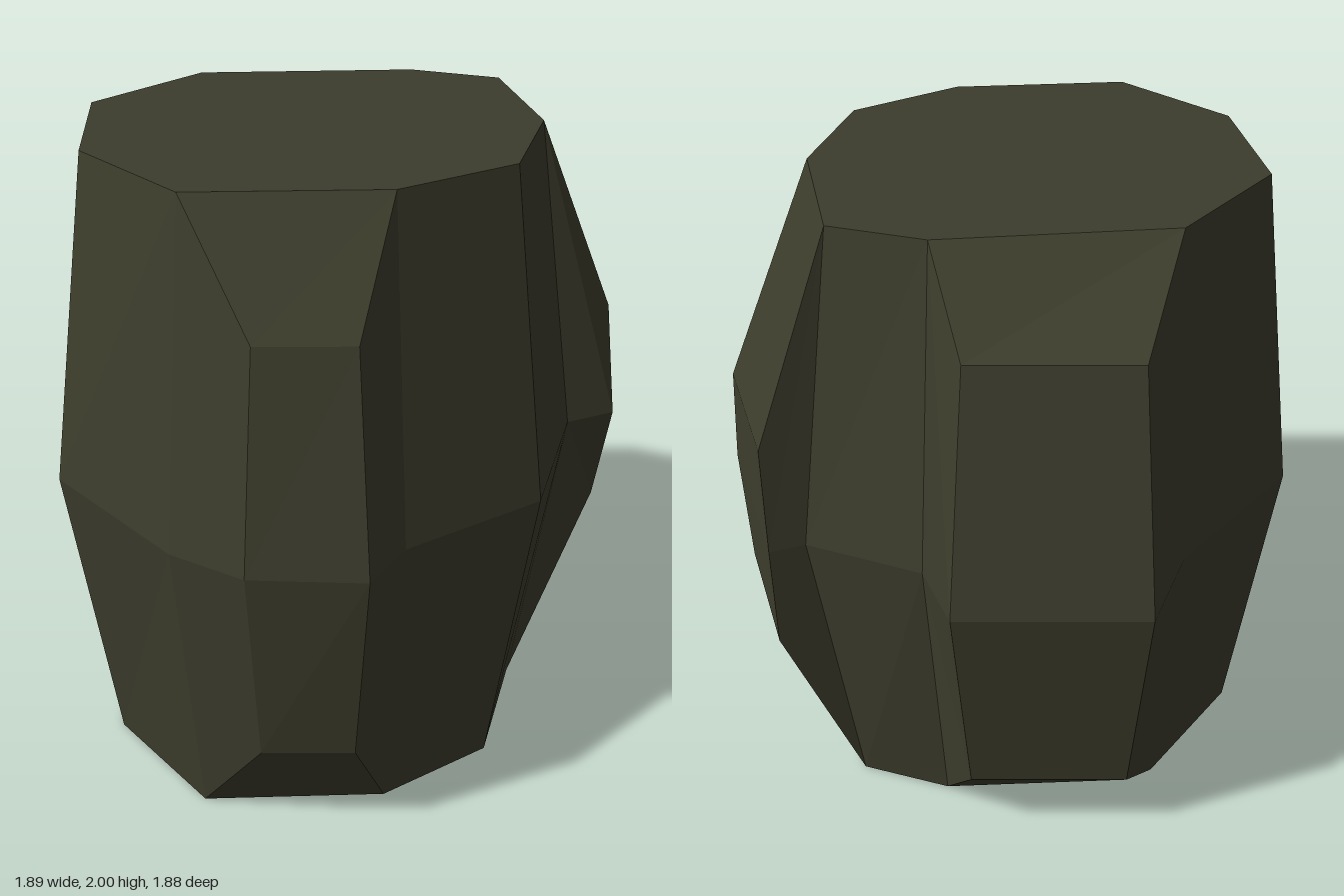
import * as THREE from 'three';

// Nine corners in plan, as [x, z]: the rim (top and bottom) and the wider waist
const RIM = [[-0.8, -0.04], [-0.555, -0.485], [-0.09, -0.63], [0.515, -0.285], [0.69, -0.04],
  [0.48, 0.43], [0.145, 0.72], [-0.26, 0.72], [-0.745, 0.43]];
const WAIST = [[-0.947, -0.04], [-0.6, -0.62], [-0.04, -0.77], [0.63, -0.37], [0.835, -0.04],
  [0.595, 0.515], [0.19, 0.855], [-0.3, 0.855], [-0.865, 0.515]];

// Raised slabs: side of the barrel, height of the slab's top edge, its corners there and at the waist
const SLABS = [
  { name: 'backSlab', side: 2, y: 1.745, edge: [[0.18, -0.81], [0.575, -0.52]], mid: [[0.225, -0.945], [0.69, -0.605]] },
  { name: 'leftSlab', side: 4, y: 1.35, edge: [[0.937, 0], [0.785, 0.46]], mid: [[0.944, -0.01], [0.768, 0.542]] },
  { name: 'frontSlab', side: 7, y: 1.655, edge: [[-0.457, 0.845], [-0.69, 0.695]], mid: [[-0.48, 0.94], [-0.755, 0.742]] },
];

const at = ([x, z], y) => [x, y, z];
const flip = ([x, y, z]) => [x, 2 - y, z];

// Fan of triangles over a polygon
function addFace(out, pts) {
  for (let i = 1; i < pts.length - 1; i++) out.push(...pts[0], ...pts[i], ...pts[i + 1]);
}

// A face in the upper half and its reflection in the lower half
function addMirrored(out, pts) {
  addFace(out, pts);
  addFace(out, pts.map(flip).reverse());
}

function makeMesh(name, positions, material) {
  const geometry = new THREE.BufferGeometry();
  geometry.setAttribute('position', new THREE.Float32BufferAttribute(positions, 3));
  geometry.computeVertexNormals();
  const mesh = new THREE.Mesh(geometry, material);
  mesh.name = name;
  return mesh;
}

export function createModel() {
  const group = new THREE.Group();
  group.name = 'facetedBarrel';
  const olive = new THREE.MeshStandardMaterial({ color: 0x3d3d2d });
  olive.name = 'darkOlive';
  olive.flatShading = true;
  const n = RIM.length;

  // Barrel: end caps and the plain sides
  const body = [];
  addMirrored(body, RIM.map((p) => at(p, 2)).reverse());
  for (let i = 0; i < n; i++) {
    if (SLABS.some((s) => s.side === i)) continue;
    const j = (i + 1) % n;
    addMirrored(body, [at(RIM[i], 2), at(RIM[j], 2), at(WAIST[j], 1), at(WAIST[i], 1)]);
  }
  group.add(makeMesh('barrel', body, olive));

  // Slabs: sloped end, outer face and the two flanks
  for (const { name, side, y, edge, mid } of SLABS) {
    const j = (side + 1) % n;
    const [rimA, rimB] = [at(RIM[side], 2), at(RIM[j], 2)];
    const [waistA, waistB] = [at(WAIST[side], 1), at(WAIST[j], 1)];
    const [edgeA, edgeB] = edge.map((p) => at(p, y));
    const [midA, midB] = mid.map((p) => at(p, 1));
    const slab = [];
    addMirrored(slab, [rimA, rimB, edgeB, edgeA]);
    addMirrored(slab, [edgeA, edgeB, midB, midA]);
    addMirrored(slab, [rimA, edgeA, midA, waistA]);
    addMirrored(slab, [rimB, waistB, midB, edgeB]);
    group.add(makeMesh(name, slab, olive));
  }
  return group;
}
